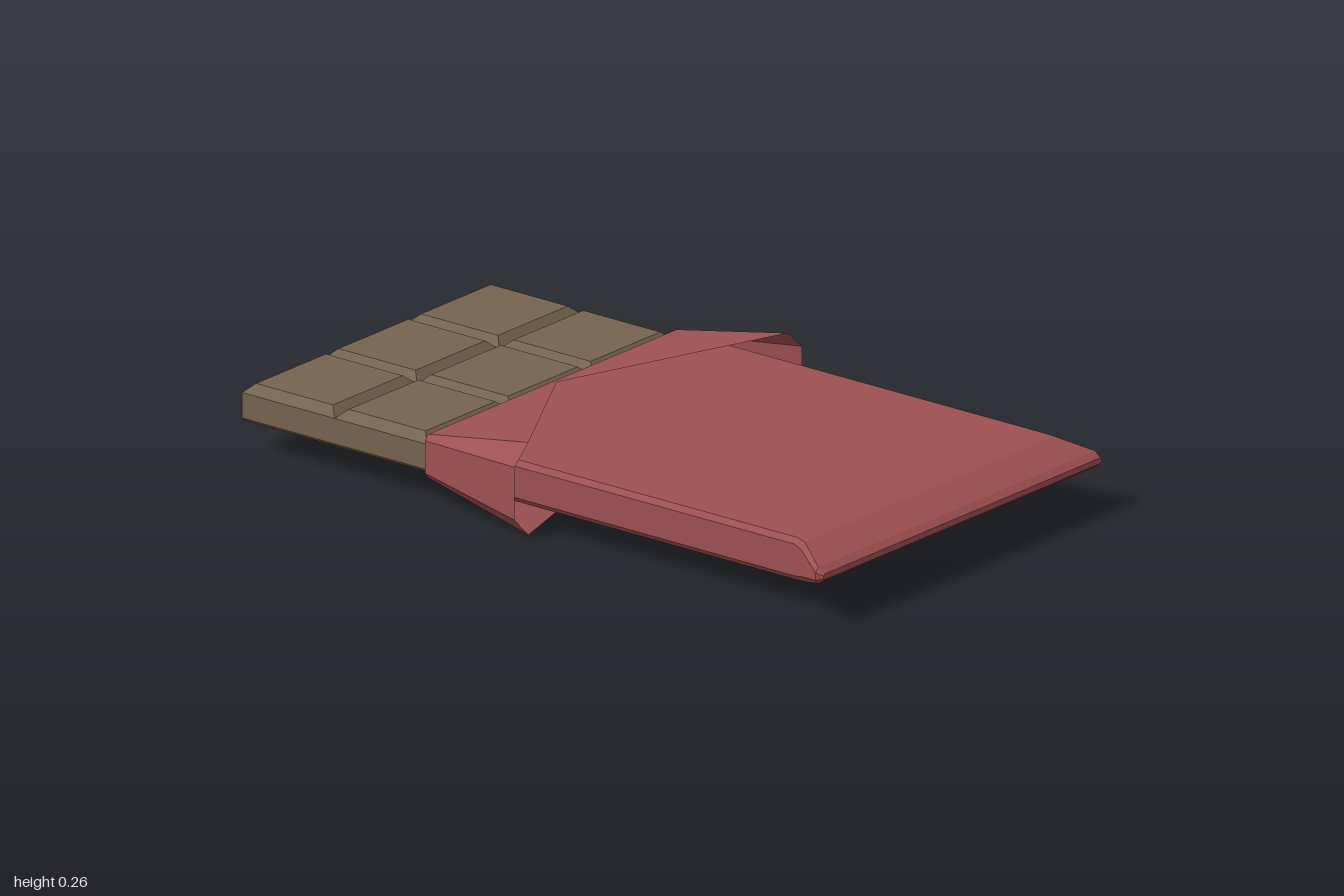
import * as THREE from 'three';

const red = new THREE.MeshStandardMaterial({ color: 0x9e5051, flatShading: true, side: THREE.DoubleSide });
const brown = new THREE.MeshStandardMaterial({ color: 0x75634f, flatShading: true });

// Skins a list of closed rings of [x, y, z] points, with optional flat end caps
function loft(rings, capStart, capEnd) {
  const n = rings[0].length;
  const index = [];
  for (let i = 0; i < rings.length - 1; i++) {
    for (let j = 0; j < n; j++) {
      const k = (j + 1) % n;
      const a = i * n + j, b = i * n + k, c = b + n, d = a + n;
      index.push(a, b, c, a, c, d);
    }
  }
  const last = (rings.length - 1) * n;
  for (let j = 1; j < n - 1; j++) {
    if (capStart) index.push(0, j + 1, j);
    if (capEnd) index.push(last, last + j, last + j + 1);
  }
  const geometry = new THREE.BufferGeometry();
  geometry.setAttribute('position', new THREE.Float32BufferAttribute(rings.flat(2), 3));
  geometry.setIndex(index);
  const flat = geometry.toNonIndexed();
  flat.computeVertexNormals();
  return flat;
}

function addMesh(parent, name, geometry, material) {
  const mesh = new THREE.Mesh(geometry, material);
  mesh.name = name;
  parent.add(mesh);
}

// Horizontal rectangle at height y, shrunk by inset
const rect = (x0, x1, z0, z1, y, inset = 0) => [
  [x0 + inset, y, z1 - inset], [x1 - inset, y, z1 - inset],
  [x1 - inset, y, z0 + inset], [x0 + inset, y, z0 + inset],
];

// Chamfered upright section of the wrapper at depth z
function section(z, hx, y0, y1, cx, cy) {
  const right = [[hx - cx, y0, z], [hx, y0 + cy, z], [hx, y1 - cy, z], [hx - cx, y1, z]];
  return [...right, ...mirrored(right)];
}

const mirrored = (points) => points.map(([x, y, z]) => [-x, y, z]).reverse();

export function createModel() {
  const group = new THREE.Group();

  // Chocolate slab with a small chamfer underneath
  const bar = new THREE.Group();
  bar.name = 'chocolateBar';
  group.add(bar);
  const hw = 0.508;
  addMesh(bar, 'slab', loft([
    rect(-hw, hw, -1, -0.3, 0.08, 0.01),
    rect(-hw, hw, -1, -0.3, 0.09),
    rect(-hw, hw, -1, -0.3, 0.16),
  ], true, true), brown);

  // Bevelled squares, 3 across and 2 deep
  const w = (2 * hw) / 3, d = 0.31;
  for (let row = 0; row < 2; row++) {
    for (let col = 0; col < 3; col++) {
      const x = -hw + col * w, z = -1 + row * d;
      addMesh(bar, 'chocolateSquare', loft([
        rect(x, x + w, z, z + d, 0.16),
        rect(x, x + w, z, z + d, 0.184, 0.026),
      ], false, true), brown);
    }
  }

  // Wrapper sleeve, pinched flat and flared at the front
  addMesh(group, 'wrapper', loft([
    section(-0.37, 0.52, 0.072, 0.188, 0.012, 0.015),
    section(0.86, 0.52, 0.072, 0.19, 0.012, 0.015),
    section(0.89, 0.528, 0.076, 0.186, 0.014, 0.018),
    section(0.98, 0.58, 0.107, 0.152, 0.012, 0.012),
    section(1.0, 0.572, 0.122, 0.138, 0.006, 0.004),
  ], false, true), red);

  // Torn edge folded back over the sleeve, notched in the middle above and below
  const crease = [[0.51, 0.07, -0.375], [0.522, 0.085, -0.375], [0.522, 0.175, -0.375], [0.51, 0.19, -0.375]];
  const tips = [[0.533, 0, -0.02], [0.59, 0.057, -0.02], [0.59, 0.203, -0.02], [0.533, 0.256, -0.02]];
  const ring = (bottom, side, top) => [bottom, ...side, top, ...mirrored(side)];
  addMesh(group, 'foldedFlap', loft([
    ring([0, 0.07, -0.375], crease, [0, 0.19, -0.375]),
    ring([0, 0, -0.18], tips, [0, 0.193, -0.36]),
  ], false, false), red);

  return group;
}
